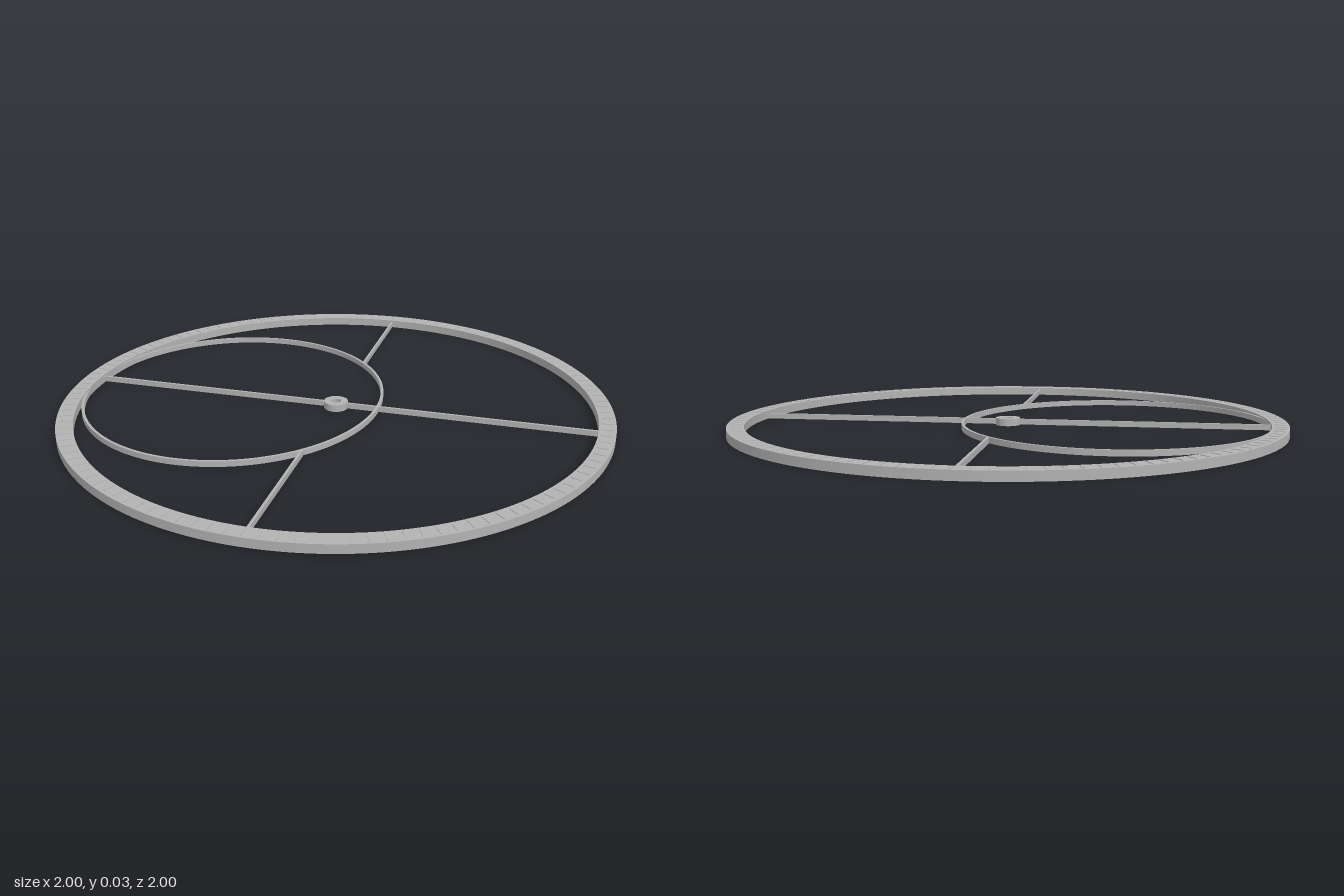
import * as THREE from 'three';

const RING_IN = 0.94, RING_H = 0.031;   // outer ring
const CX = -0.395, A = 0.557, B = 0.595; // offset oval band

export function createModel() {
  const model = new THREE.Group();
  const grey = new THREE.MeshStandardMaterial({ color: 0xb2b2b2 });
  grey.name = 'plain grey';

  const add = (geo, name, x = 0, y = 0, z = 0) => {
    const mesh = new THREE.Mesh(geo, grey);
    mesh.name = name;
    mesh.position.set(x, y, z);
    model.add(mesh);
    return mesh;
  };

  // Flat ring of rectangular section, each face with its own normals
  const band = (rIn, rOut, h, segments) => {
    const p = [[rIn, 0], [rOut, 0], [rOut, 0], [rOut, h], [rOut, h], [rIn, h], [rIn, h], [rIn, 0]];
    const shape = new THREE.Shape().absarc(0, 0, rOut, 0, Math.PI * 2);
    shape.holes.push(new THREE.Path().absarc(0, 0, rIn, 0, Math.PI * 2, true));
    const geo = new THREE.ExtrudeGeometry(shape, { depth: h, bevelEnabled: false, curveSegments: segments });
    return geo.rotateX(-Math.PI / 2);
  };

  // Outer ring and hub
  add(band(RING_IN, 1, RING_H, 128), 'outerRing');
  add(band(0.018, 0.044, 0.026, 24), 'hub', 0, 0.003);

  // Fine raised graduations around the top of the outer ring
  const count = 120;
  const ticks = new THREE.InstancedMesh(new THREE.BoxGeometry(0.04, 0.002, 0.003), grey, count);
  const group = new THREE.Group();
  group.name = 'graduations';
  for (let i = 0; i < count; i++) {
    const a = (i / count) * Math.PI * 2;
    const tick = new THREE.Mesh(ticks.geometry, grey);
    tick.name = 'graduation';
    tick.position.set(Math.cos(a) * 0.97, RING_H + 0.0008, -Math.sin(a) * 0.97);
    tick.rotation.y = a;
    group.add(tick);
  }
  model.add(group);

  // Thin oval band set off-centre
  const oval = new THREE.Shape().absellipse(0, 0, A, B, 0, Math.PI * 2);
  oval.holes.push(new THREE.Path().absellipse(0, 0, A - 0.01, B - 0.01, 0, Math.PI * 2, true));
  const ovalGeo = new THREE.ExtrudeGeometry(oval, { depth: 0.02, bevelEnabled: false, curveSegments: 96 });
  add(ovalGeo.rotateX(-Math.PI / 2), 'ovalBand', CX, 0.005);

  // Spokes: the long pair starts at the hub, the short pair at the oval
  const zStart = B * Math.sqrt(1 - (CX / A) ** 2) - 0.005;
  for (const s of [-1, 1]) {
    const lx = RING_IN + 0.005 - 0.04, lz = RING_IN + 0.005 - zStart;
    add(new THREE.BoxGeometry(lx, 0.02, 0.009), 'longSpoke', s * (0.04 + lx / 2), 0.015, 0);
    add(new THREE.BoxGeometry(0.009, 0.02, lz), 'shortSpoke', 0, 0.015, s * (zStart + lz / 2));
  }
  return model;
}
